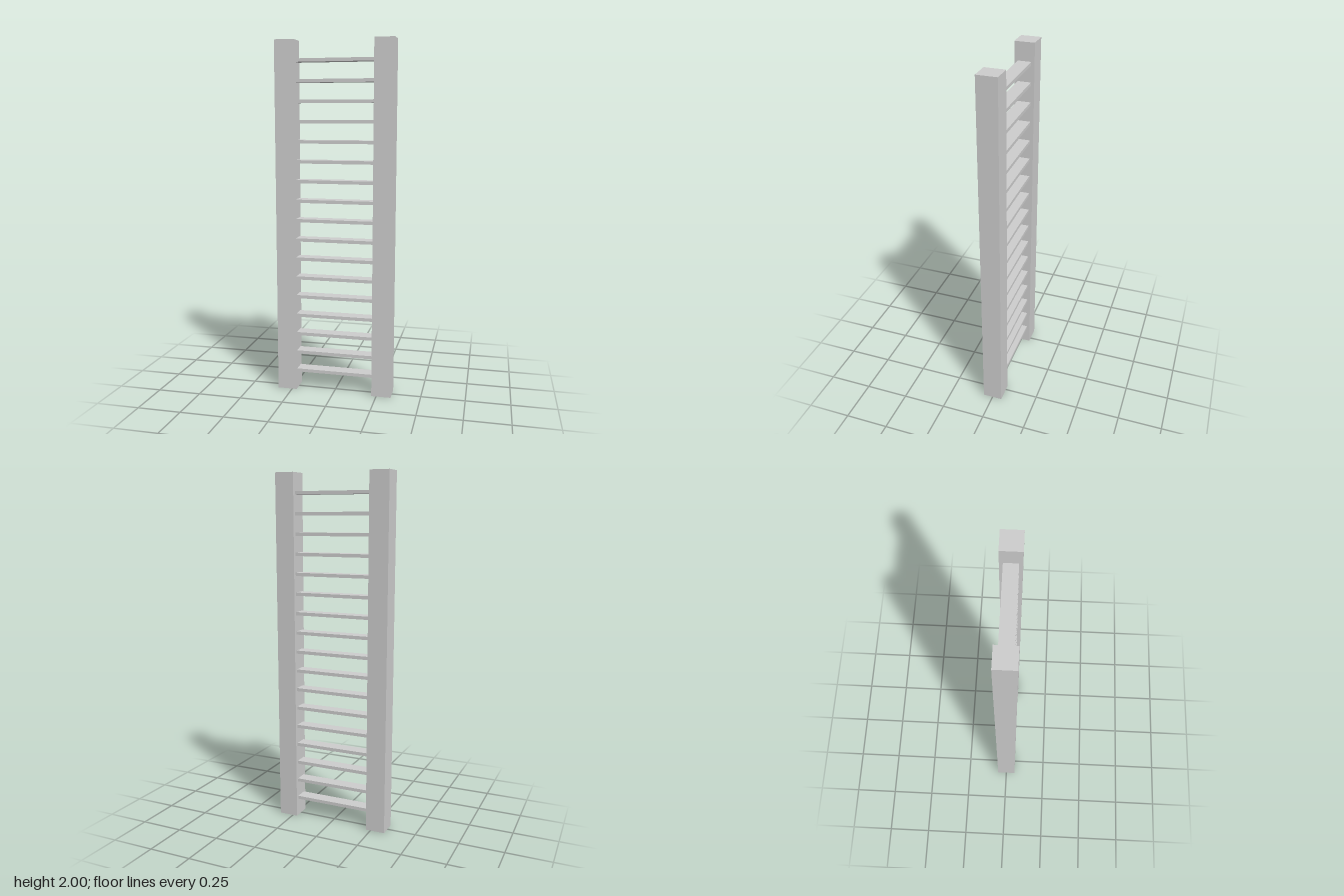
import * as THREE from 'three';

export function createModel() {
  const group = new THREE.Group();
  const material = new THREE.MeshStandardMaterial({ color: 0xcccccc, flatShading: true });

  const height = 2;
  const postSize = 1 / 9;
  const postX = 2.5 / 9; // centre of each post
  const rungCount = 17;
  const spacing = height / (rungCount + 1);

  const addBox = (name, geometry, x, y) => {
    const mesh = new THREE.Mesh(geometry, material);
    mesh.name = name;
    mesh.position.set(x, y, 0);
    group.add(mesh);
  };

  // Square upright posts
  const postGeometry = new THREE.BoxGeometry(postSize, height, postSize);
  addBox('leftPost', postGeometry, postX, height / 2);
  addBox('rightPost', postGeometry, -postX, height / 2);

  // Flat rungs, evenly spaced between the posts
  const rungGeometry = new THREE.BoxGeometry(2 * postX - postSize, 0.0185, 0.074);
  for (let i = 1; i <= rungCount; i++) {
    addBox(`rung${i}`, rungGeometry, 0, i * spacing);
  }

  return group;
}
